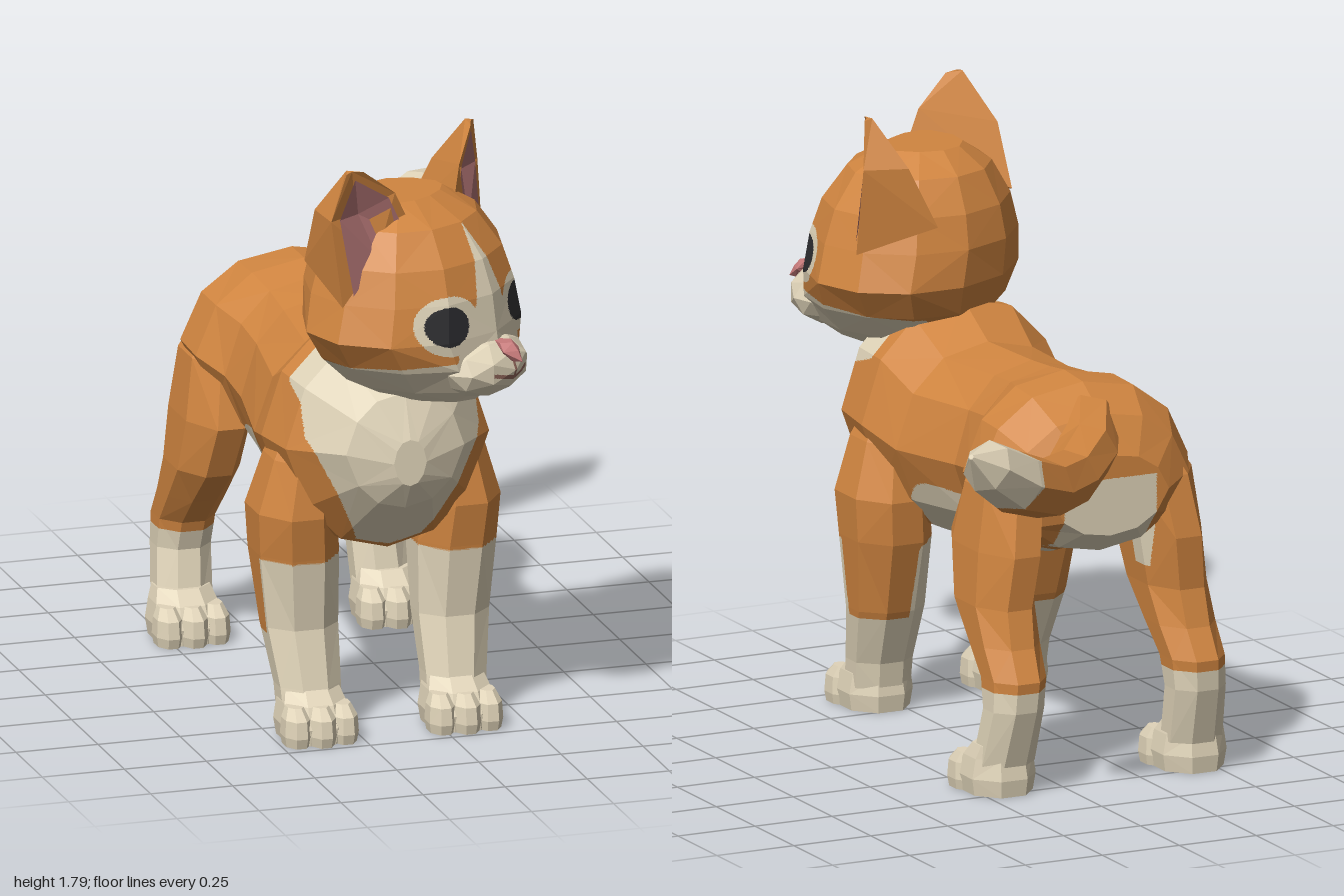
import * as THREE from 'three';

const V = (x, y, z) => new THREE.Vector3(x, y, z);
const mat = (name, color) => Object.assign(new THREE.MeshStandardMaterial({ color }), { name });
const M = {
  orange: mat('orange fur', 0xd08540),
  cream: mat('cream fur', 0xe0d4b9),
  ear: mat('inner ear pink', 0xab7070),
  nose: mat('nose pink', 0xc97c7c),
  mouth: mat('mouth line', 0x94695c),
  eye: mat('eye black', 0x2d2d30),
};
M.ear.side = THREE.DoubleSide;

// Splits a flat face until each piece has one colour
function paint([a, b, c], rule, bins, depth = 0) {
  const ab = a.clone().lerp(b, 0.5), bc = b.clone().lerp(c, 0.5), ca = c.clone().lerp(a, 0.5);
  const key = rule(ab.clone().add(bc).add(ca).divideScalar(3));
  if (depth === 5 || (depth > 1 && [a, b, c, ab, bc, ca].every((p) => rule(p) === key))) {
    if (!bins.has(key)) bins.set(key, []);
    bins.get(key).push(a, b, c);
  } else {
    for (const t of [[a, ab, ca], [ab, b, bc], [ca, bc, c], [ab, bc, ca]]) paint(t, rule, bins, depth + 1);
  }
}

// Faceted mesh from triangles, in one colour or coloured by a rule
function part(name, tris, colour) {
  let volume = 0;
  for (const [a, b, c] of tris) volume += a.dot(b.clone().cross(c));
  if (volume < 0) tris = tris.map(([a, b, c]) => [a, c, b]);
  const bins = new Map();
  if (typeof colour === 'string') bins.set(colour, tris.flat());
  else for (const t of tris) paint(t, colour, bins);
  const geo = new THREE.BufferGeometry(), points = [], mats = [];
  for (const [key, list] of bins) {
    geo.addGroup(points.length, list.length, mats.length);
    mats.push(M[key]);
    for (const p of list) points.push(p);
  }
  geo.setFromPoints(points);
  geo.computeVertexNormals();
  const mesh = new THREE.Mesh(geo, mats.length === 1 ? mats[0] : mats);
  mesh.name = name;
  return mesh;
}

// Closed skin over a row of rings
function loft(rings) {
  const n = rings[0].length, tris = [];
  for (let r = 0; r + 1 < rings.length; r++) {
    for (let i = 0; i < n; i++) {
      const j = (i + 1) % n, [a, b, c, d] = [rings[r][i], rings[r][j], rings[r + 1][j], rings[r + 1][i]];
      if ((r + i) % 2) tris.push([a, b, c], [a, c, d]);
      else tris.push([a, b, d], [b, c, d]);
    }
  }
  [rings[0], rings.at(-1)].forEach((ring, end) => {
    const mid = ring.reduce((s, p) => s.add(p), V(0, 0, 0)).divideScalar(n);
    ring.forEach((p, i) => {
      const q = ring[(i + 1) % n];
      tris.push(end ? [p, q, mid] : [q, p, mid]);
    });
  });
  return tris;
}

// Upright column; rows are [y, x, z, half width, half depth]
function column(rows, n = 8) {
  const k = 1 / Math.cos(Math.PI / n);
  return loft(rows.map(([y, x, z, rx, rz]) => Array.from({ length: n }, (_, i) => {
    const a = (i + 0.5) / n * Math.PI * 2;
    return V(x + Math.sin(a) * rx * k, y, z + Math.cos(a) * rz * k);
  })));
}

function trunk() {
  // [z, centre x, top y, bottom y, half width]
  const rows = [
    [0.85, -0.16, 0.96, 0.82, 0.05], [0.8, -0.16, 1.09, 0.74, 0.18], [0.63, -0.16, 1.22, 0.57, 0.31],
    [0.46, -0.16, 1.23, 0.55, 0.33], [0.3, -0.16, 1.14, 0.56, 0.3], [0.02, -0.16, 1.15, 0.58, 0.25],
    [-0.12, -0.15, 1.165, 0.61, 0.265], [-0.24, -0.135, 1.185, 0.65, 0.33], [-0.37, -0.13, 1.18, 0.68, 0.34],
    [-0.48, -0.13, 1.11, 0.7, 0.29], [-0.55, -0.13, 1.0, 0.76, 0.19],
  ];
  const soft = (v) => Math.sign(v) * Math.abs(v) ** 0.85;
  const rings = rows.map(([z, cx, top, bottom, hw]) => Array.from({ length: 12 }, (_, i) => {
    const a = i / 12 * Math.PI * 2, up = soft(Math.cos(a));
    const taper = 1 - (up > 0 ? 0.15 : -0.2) * up;
    return V(cx + soft(Math.sin(a)) * hw * taper, (top + bottom) / 2 + up * (top - bottom) / 2, z);
  }));
  return part('body', loft(rings), (p) => {
    const dx = Math.abs(p.x + 0.16);
    const bib = p.z > 0.52 + Math.max(0, 1.08 - p.y) * 0.25 && dx < Math.min(0.265, 0.07 + (p.y - 0.55) * 0.5);
    const belly = p.z < 0.5 && p.z > -0.24 && p.y < 0.62 + Math.max(-0.03, 0.15 * (1 - ((p.z - 0.09) / 0.27) ** 4));
    const rump = p.z < -0.44 && p.y < 0.93 && Math.abs(p.x + 0.13) < 0.15;
    return bib || belly || rump || (p.z <= -0.24 && p.y < 0.7) ? 'cream' : 'orange';
  });
}

function paw(name, x, z) {
  const g = new THREE.Group();
  g.name = name;
  g.add(part('pawPad', column([[0.01, x, z, 0.095, 0.11], [0.06, x, z, 0.103, 0.116], [0.12, x, z - 0.01, 0.093, 0.095],
    [0.16, x, z - 0.03, 0.08, 0.07]]), 'cream'));
  for (const i of [-1, 0, 1]) {
    const tx = x + i * 0.071, tz = z + 0.085 - Math.abs(i) * 0.015;
    g.add(part('toe', column([[0.01, tx, tz, 0.036, 0.055], [0.04, tx, tz, 0.041, 0.063], [0.09, tx, tz, 0.038, 0.056],
      [0.122, tx, tz - 0.015, 0.024, 0.035]]), 'cream'));
  }
  return g;
}

function legs(group) {
  for (const s of [1, -1]) {
    const side = s > 0 ? 'left' : 'right';
    const place = (cx, rows) => column(rows.map(([y, x, z, rx, rz]) => [y, cx + s * x, z, rx, rz]));
    // Front leg: orange sleeve reaches lower on the outer rear
    group.add(part(side + 'FrontLeg', place(-0.16, [
      [1.0, 0.18, 0.5, 0.06, 0.07], [0.84, 0.23, 0.5, 0.09, 0.13], [0.68, 0.25, 0.49, 0.118, 0.165],
      [0.55, 0.24, 0.485, 0.12, 0.148], [0.33, 0.23, 0.505, 0.107, 0.1], [0.16, 0.222, 0.56, 0.092, 0.082],
      [0.08, 0.22, 0.575, 0.09, 0.085],
    ]), (p) => {
      const inner = s * (p.x + 0.16) < 0.2;
      return p.y < (p.z > 0.53 || inner ? 0.54 : 0.31) ? 'cream' : 'orange';
    }));
    group.add(paw(side + 'FrontPaw', -0.16 + s * 0.22, 0.6));
    // Hind leg: thigh, hock and sock
    group.add(part(side + 'HindLeg', place(-0.13, [
      [1.06, 0.17, -0.36, 0.06, 0.07], [0.9, 0.235, -0.34, 0.1, 0.16], [0.72, 0.262, -0.33, 0.1, 0.205],
      [0.56, 0.28, -0.355, 0.095, 0.165], [0.45, 0.285, -0.43, 0.09, 0.12], [0.36, 0.29, -0.5, 0.085, 0.1],
      [0.27, 0.295, -0.51, 0.082, 0.083], [0.1, 0.305, -0.465, 0.085, 0.075],
    ]), (p) => {
      const d = s * (p.x + 0.13);
      return p.y < 0.33 || (d < 0.185 && p.z < -0.36 && p.y > 0.62 && p.y < 0.9) ? 'cream' : 'orange';
    }));
    group.add(paw(side + 'HindPaw', -0.13 + s * 0.31, -0.43));
  }
}

function tail() {
  // [x, y, z, radius]
  const rows = [[-0.13, 1.07, -0.4, 0.09], [-0.06, 1.02, -0.54, 0.09], [0.06, 0.985, -0.67, 0.085], [0.2, 0.995, -0.79, 0.09],
    [0.34, 1.05, -0.87, 0.095], [0.46, 1.125, -0.925, 0.08], [0.54, 1.175, -0.98, 0.008]];
  const path = rows.map(([x, y, z]) => V(x, y, z));
  const rings = rows.map((row, k) => {
    const dir = path[Math.min(k + 1, 6)].clone().sub(path[Math.max(k - 1, 0)]).normalize();
    const across = V(0, 1, 0).cross(dir).normalize(), up = dir.clone().cross(across);
    return Array.from({ length: 7 }, (_, i) => {
      const a = i / 7 * Math.PI * 2;
      return path[k].clone().addScaledVector(across, Math.cos(a) * row[3]).addScaledVector(up, Math.sin(a) * row[3]);
    });
  });
  return part('tail', loft(rings), (p) => (p.x - p.z + 0.9 * (p.y - 1.05) > 1.225 ? 'cream' : 'orange'));
}

function head() {
  const g = new THREE.Group();
  g.name = 'head';
  // Skull: [y, half width, front z, back z]
  const rows = [[1.07, 0.12, 0.26, -0.06], [1.12, 0.215, 0.32, -0.16], [1.2, 0.305, 0.35, -0.23], [1.29, 0.37, 0.335, -0.26],
    [1.4, 0.335, 0.32, -0.27], [1.5, 0.3, 0.285, -0.25], [1.6, 0.23, 0.21, -0.2], [1.66, 0.13, 0.1, -0.12]];
  const rings = rows.map(([y, hw, f, b]) => Array.from({ length: 12 }, (_, i) => {
    const a = i / 12 * Math.PI * 2, c = Math.cos(a);
    return V(Math.sin(a) * hw, y, 0.03 + c * (c > 0 ? f - 0.03 : 0.03 - b));
  }));
  g.add(part('skull', loft(rings), (p) => {
    const u = Math.abs(p.x), within = (x, y, rx, ry) => ((u - x) / rx) ** 2 + ((p.y - y) / ry) ** 2 < 1;
    if (p.z > 0.05 && within(0.168, 1.335, 0.067, 0.058)) return 'eye';
    const jaw = p.z > -0.12 && p.y < 1.2 + 0.08 * p.z;
    const blaze = p.z > 0 && p.y < 1.6 && u < 0.3 * (1.6 - p.y);
    const muzzle = p.z > 0 && u < 0.15 && p.y < 1.32;
    const socket = p.z > 0.05 && within(0.16, 1.335, 0.1, 0.088);
    return jaw || blaze || muzzle || socket ? 'cream' : 'orange';
  }));
  // Muzzle with a thin mouth line
  const ball = new THREE.IcosahedronGeometry(1, 1).scale(0.165, 0.095, 0.125).translate(0, 1.185, 0.28);
  const pos = ball.attributes.position, tris = [];
  const at = (i) => V(0, 0, 0).fromBufferAttribute(pos, i);
  for (let i = 0; i < pos.count; i += 3) tris.push([at(i), at(i + 1), at(i + 2)]);
  g.add(part('muzzle', tris, (p) => {
    const u = Math.abs(p.x);
    const lip = u < 0.08 && Math.abs(p.y - 1.16 - 0.25 * u) < 0.006;
    const cleft = u < 0.005 && p.y > 1.16 && p.y < 1.24;
    return p.z > 0.33 && (lip || cleft) ? 'mouth' : 'cream';
  }));
  g.add(part('nose', loft([[1.212, 0.01, 0.4], [1.243, 0.038, 0.385], [1.265, 0.028, 0.365]].map(([y, w, z]) =>
    [V(-w, y, z), V(0, y, z + 0.026), V(w, y, z), V(0, y, z - 0.05)])), 'nose'));
  // Ears: inner edge, front fold, outer edge and back at base, middle and tip
  for (const s of [1, -1]) {
    const side = s > 0 ? 'left' : 'right';
    const e = [
      [[0.1, 1.58, 0.11], [0.23, 1.52, 0.07], [0.36, 1.4, 0.04], [0.25, 1.48, -0.17]],
      [[0.165, 1.71, 0.09], [0.265, 1.66, 0.02], [0.375, 1.66, 0.01], [0.3, 1.66, -0.1]],
      [[0.275, 1.795, 0.055], [0.305, 1.8, 0.035], [0.325, 1.795, 0.03], [0.305, 1.8, 0.015]],
    ].map((ring) => ring.map(([x, y, z]) => V(s * x, y, z)));
    g.add(part(side + 'Ear', loft(e), 'orange'));
    const [low, mid] = e.map(([a, b, c]) => [a.clone().lerp(b, 0.22), b.clone(), c.clone().lerp(b, 0.25)]);
    const tip = e[2][1].clone().lerp(e[1][1], 0.2);
    const lining = [];
    for (const p of [...low, ...mid, tip]) p.z += 0.009;
    for (const i of [0, 1]) {
      lining.push([low[i], low[i + 1], mid[i + 1]], [low[i], mid[i + 1], mid[i]], [mid[i], mid[i + 1], tip]);
    }
    g.add(part(side + 'EarLining', lining, 'ear'));
  }
  g.position.set(-0.125, 0, 0.655);
  g.rotation.y = 0.66;
  return g;
}

export function createModel() {
  const cat = new THREE.Group();
  cat.name = 'cat';
  cat.add(trunk(), tail(), head());
  legs(cat);
  return cat;
}
